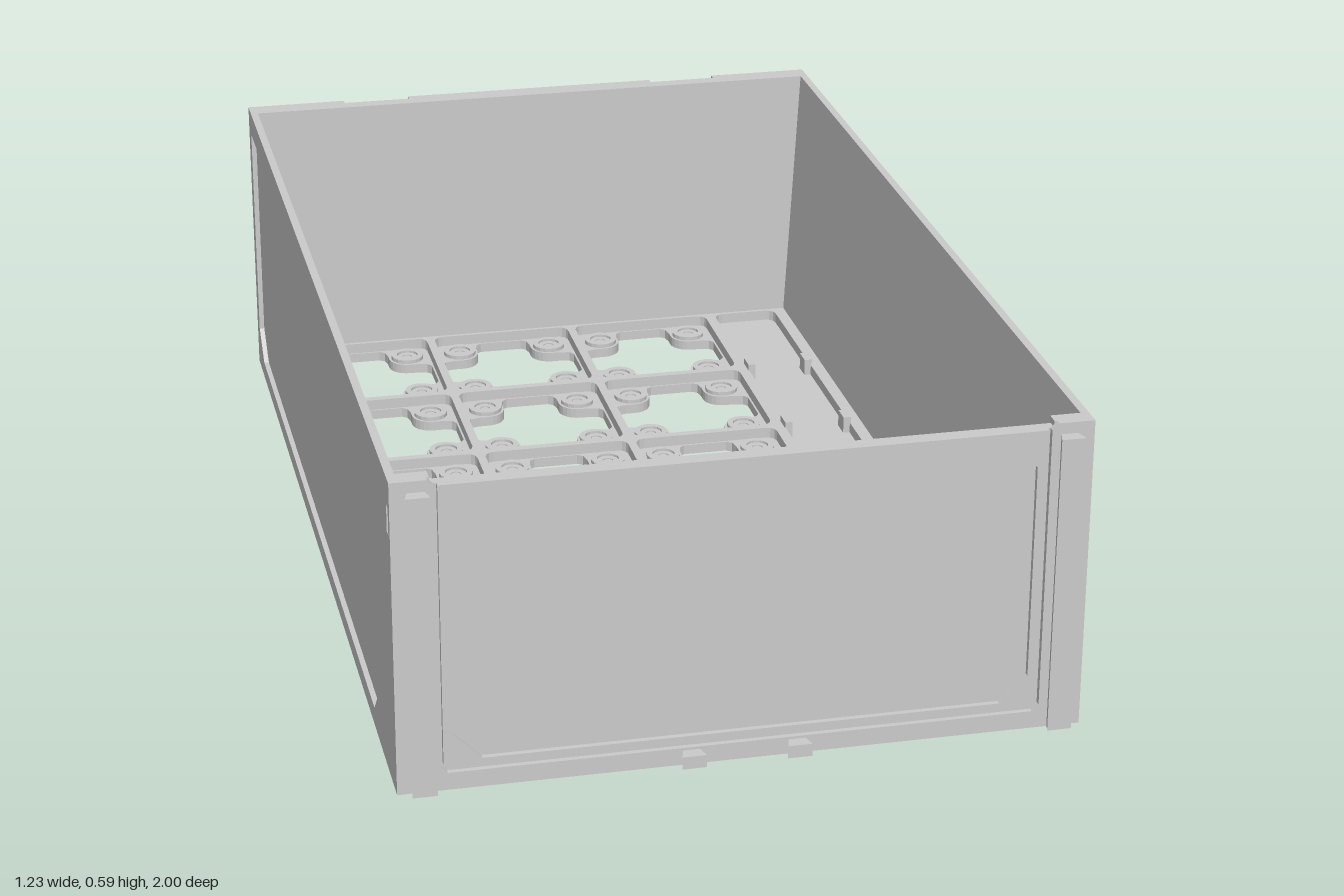
import * as THREE from 'three';

const material = new THREE.MeshStandardMaterial({ color: 0xcccccc, flatShading: true });
const rect = (x0, y0, x1, y1) => [[x0, y0], [x1, y0], [x1, y1], [x0, y1]];
const toPoints = (list) => list.map(([x, y]) => new THREE.Vector2(x, y));
const mirrorX = (list) => list.map(([x, y]) => [-x, y]).reverse();

// Rectangle with chamfered corners
const octagon = (x0, y0, x1, y1, c) => [
  [x0 + c, y0], [x1 - c, y0], [x1, y0 + c], [x1, y1 - c],
  [x1 - c, y1], [x0 + c, y1], [x0, y1 - c], [x0, y0 + c],
];

// Rectangle with rounded corners
function roundRect(x0, y0, x1, y1, r) {
  const points = [];
  [[x1 - r, y1 - r], [x0 + r, y1 - r], [x0 + r, y0 + r], [x1 - r, y0 + r]].forEach(([cx, cy], q) => {
    for (let i = 0; i <= 3; i++) {
      const a = (q + i / 3) * Math.PI / 2;
      points.push([cx + r * Math.cos(a), cy + r * Math.sin(a)]);
    }
  });
  return points;
}

// Cross-shaped opening that leaves a rounded pad in each corner
function crossHole(cx, cy) {
  const quarter = [[0.146, 0.045], [0.138, 0.056], [0.118, 0.06]];
  for (let i = 0; i <= 6; i++) {
    const a = -Math.PI / 2 - i / 6 * Math.PI / 2;
    quarter.push([0.1 + 0.04 * Math.cos(a), 0.1 + 0.04 * Math.sin(a)]);
  }
  quarter.push([0.06, 0.118], [0.056, 0.138], [0.045, 0.146]);
  const points = [];
  for (let q = 0; q < 4; q++) {
    const c = Math.round(Math.cos(q * Math.PI / 2)), s = Math.round(Math.sin(q * Math.PI / 2));
    for (const [x, y] of quarter) points.push([cx + x * c - y * s, cy + x * s + y * c]);
  }
  return points;
}

export function createModel() {
  const model = new THREE.Group();
  model.name = 'moduleBox';

  const add = (name, geometry, x = 0, y = 0, z = 0) => {
    const mesh = new THREE.Mesh(geometry, material);
    mesh.name = name;
    mesh.position.set(x, y, z);
    model.add(mesh);
    return mesh;
  };
  const plate = (outline, holes, depth) => {
    const shape = new THREE.Shape(toPoints(outline));
    shape.holes = holes.map((h) => new THREE.Path(toPoints(h)));
    return new THREE.ExtrudeGeometry(shape, { depth, bevelEnabled: false });
  };
  // Lying plate: outline is (x, -z), extruded upward
  const lying = (outline, holes, height) => plate(outline, holes, height).rotateX(-Math.PI / 2);
  const box = (name, x0, x1, y0, y1, z0, z1) => add(name,
    new THREE.BoxGeometry(x1 - x0, y1 - y0, z1 - z0), (x0 + x1) / 2, (y0 + y1) / 2, (z0 + z1) / 2);

  // Floor with a grid of openings, and the ribs around each cell
  const H = 0.59, pitch = 0.3175;
  const cells = [];
  for (let c = 0; c < 3; c++) {
    for (let r = 0; r < 6; r++) cells.push([-0.4 + c * pitch, 0.797 - r * pitch]);
  }
  const floorOutline = rect(-0.575, -0.95, 0.575, 0.96);
  add('floor', lying(floorOutline, cells.map(([x, y]) => crossHole(x, y)), 0.02));
  const ribHoles = cells.map(([x, y]) => roundRect(x - 0.15, y - 0.15, x + 0.15, y + 0.15, 0.02));
  ribHoles.push(roundRect(0.407, -0.94, 0.545, 0.947, 0.02));
  add('floorRibs', lying(floorOutline, ribHoles, 0.022), 0, 0.02);

  // Ring bosses on the corner pads
  const boss = new THREE.LatheGeometry(toPoints(
    [[0.035, 0], [0.035, 0.008], [0.023, 0.008], [0.023, 0.003], [0.011, 0.003], [0.011, 0.001], [0, 0.001]]), 16);
  for (const [x, y] of cells) {
    for (const sx of [-0.1, 0.1]) {
      for (const sy of [-0.1, 0.1]) add('screwBoss', boss, x + sx, 0.02, -(y + sy));
    }
  }

  // Retaining clips along the cable channel
  for (let r = 1; r < 6; r++) {
    const z = -0.956 + r * pitch;
    for (const x of [0.413, 0.539]) box('channelClip', x - 0.008, x + 0.008, 0.02, 0.055, z - 0.02, z + 0.02);
  }

  // Side walls: thicker toward the floor, with a framed recess outside
  const section = [[0.568, 0], [0.605, 0], [0.605, H], [0.6, H]];
  const sideRecess = [[-0.915, 0.23], [-0.72, 0.035], [0.9, 0.035], [0.965, 0.09],
    [0.965, 0.54], [-0.86, 0.54], [-0.915, 0.485]];
  const latchHole = rect(-0.96, 0.488, -0.943, 0.538);
  for (const s of [1, -1]) {
    add('sideWall', plate(s > 0 ? section : mirrorX(section), [], 1.935), 0, 0, -0.97);
    const frame = plate(rect(-0.965, 0, 0.97, H), [sideRecess, latchHole], 0.01).rotateY(Math.PI / 2);
    add('sideFrame', frame, s > 0 ? 0.605 : -0.615);
  }

  // Back wall: inner sheet, with pockets and latch notches in the outer layer
  box('backWall', -0.605, 0.605, 0, H, -0.97, -0.955);
  const backOutline = [[-0.615, 0], [0.615, 0], [0.615, H], [0.408, H], [0.408, 0.42], [0.268, 0.42], [0.268, H],
    [-0.268, H], [-0.268, 0.42], [-0.408, 0.42], [-0.408, H], [-0.615, H]];
  const tall = [[0.425, 0.025], [0.588, 0.025], [0.588, 0.565], [0.45, 0.565], [0.425, 0.54]];
  const low = [[0.28, 0.025], [0.4, 0.025], [0.4, 0.385], [0.305, 0.385], [0.28, 0.36]];
  const middle = octagon(-0.25, 0.025, 0.25, 0.565, 0.02);
  add('backFrame', plate(backOutline, [tall, mirrorX(tall), low, mirrorX(low), middle], 0.03), 0, 0, -1);
  for (const s of [1, -1]) {
    box('backLatch', s * 0.338 - 0.07, s * 0.338 + 0.07, 0.42, H, -0.985, -0.97);
    box('latchLip', s * 0.338 - 0.045, s * 0.338 + 0.045, 0.42, 0.45, -0.995, -0.985);
  }

  // Front wall: inset panel with a recessed face, between two corner posts
  box('frontWall', -0.605, 0.605, 0, 0.578, 0.945, 0.965);
  const frontOutline = [[-0.615, 0], [0.615, 0], [0.615, H], [0.55, H], [0.538, 0.578],
    [0.538, 0.045], [0.526, 0.033], [-0.526, 0.033], [-0.538, 0.045], [-0.538, 0.578], [-0.55, H], [-0.615, H]];
  add('frontFrame', plate(frontOutline, [], 0.011), 0, 0, 0.965);
  const panelOutline = [[-0.522, 0.038], [0.522, 0.038], [0.533, 0.049], [0.533, 0.578], [-0.533, 0.578], [-0.533, 0.049]];
  add('frontPanel', plate(panelOutline, [octagon(-0.515, 0.055, 0.515, 0.56, 0.05)], 0.01), 0, 0, 0.965);
  for (const s of [1, -1]) {
    box('cornerPost', s * 0.575 - 0.03, s * 0.575 + 0.03, 0, H, 0.94, 0.965);
  }

  // Dovetail rails and lower tabs on the front
  const dovetail = [[-0.015, 0], [-0.022, -0.025], [0.022, -0.025], [0.015, 0]];
  for (const s of [1, -1]) {
    add('frontRail', lying(dovetail, [], 0.565), s * 0.57, 0.004, 0.975);
    add('frontTab', lying(dovetail, [], 0.024), s * 0.095, 0.004, 0.975);
  }
  return model;
}
